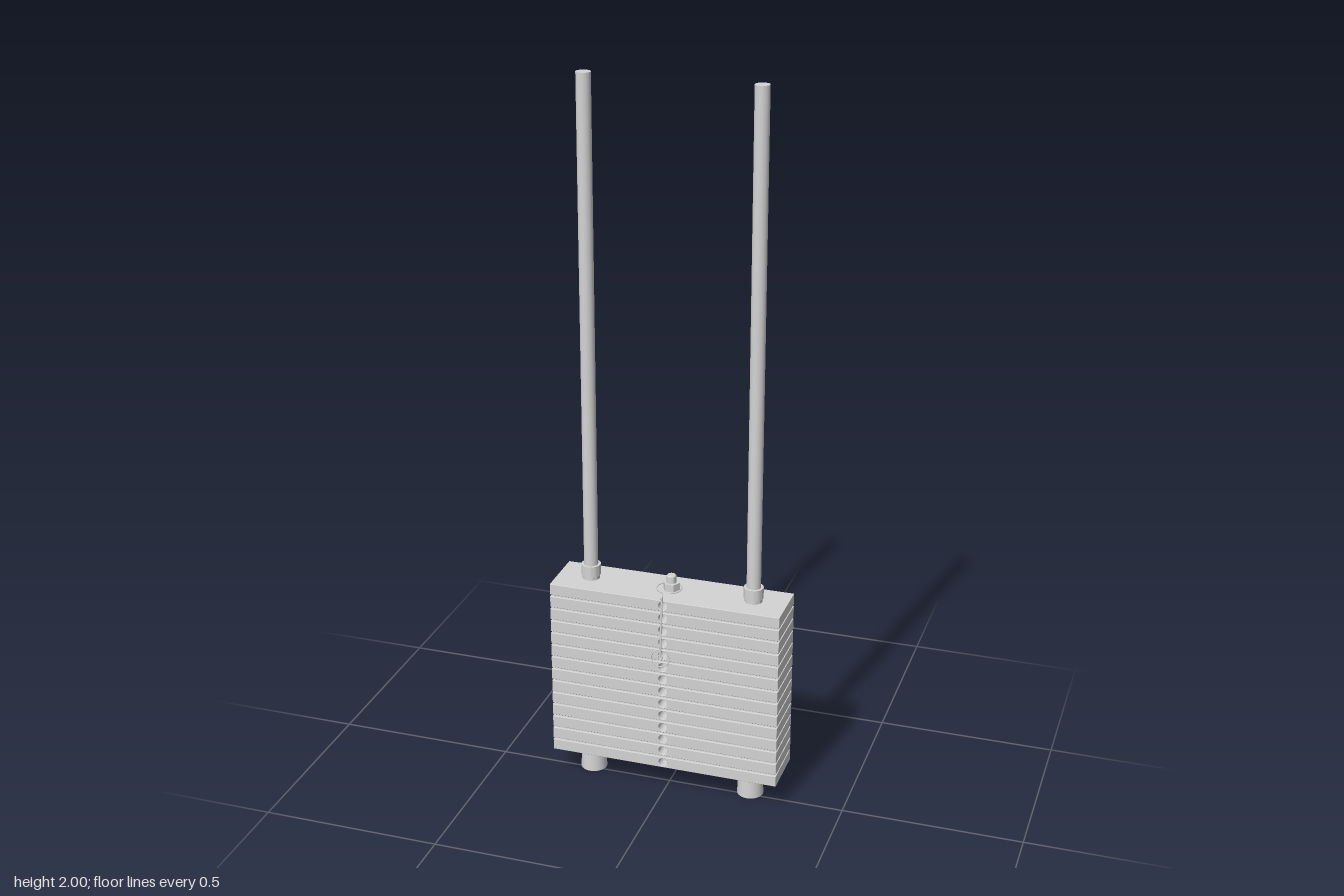
import * as THREE from 'three';
import { toCreasedNormals } from 'three/addons/utils/BufferGeometryUtils.js';

const steel = new THREE.MeshStandardMaterial({ color: 0xd4d4d4 });
steel.name = 'light steel';

const MID_Z = -0.015; // depth of the rod axes
const ROD_X = 0.232;
const PLATES = 14, PLATE_H = 0.032, STACK_BOTTOM = 0.079, STACK_TOP = 0.598;
const PITCH = (STACK_TOP - STACK_BOTTOM - PLATE_H) / (PLATES - 1);
const HALF_W = 0.325, BACK = -0.0905, DEPTH = 0.153;

function add(parent, name, geometry, x = 0, y = 0, z = 0) {
  const mesh = new THREE.Mesh(geometry, steel);
  mesh.name = name;
  mesh.position.set(x, y, z);
  parent.add(mesh);
  return mesh;
}

// Upright round bar between two heights
function post(parent, name, rTop, rBottom, y0, y1, x) {
  const g = new THREE.CylinderGeometry(rTop, rBottom, y1 - y0, 32);
  return add(parent, name, g, x, (y0 + y1) / 2, MID_Z);
}

// Turned part from [radius, height] points, with crisp steps
function turned(parent, name, profile, x) {
  const g = new THREE.LatheGeometry(profile.map(p => new THREE.Vector2(...p)), 32);
  return add(parent, name, toCreasedNormals(g, 0.5), x, 0, MID_Z);
}

function wire(parent, name, points, r) {
  const path = new THREE.CatmullRomCurve3(points, false, 'centripetal');
  return add(parent, name, new THREE.TubeGeometry(path, points.length * 4, r, 8));
}

// Plate with a pin hole running front to back
function plateGeometry() {
  const b = 0.001, w = HALF_W - b, h = PLATE_H / 2 - b;
  const shape = new THREE.Shape();
  shape.moveTo(-w, -h);
  shape.lineTo(w, -h);
  shape.lineTo(w, h);
  shape.lineTo(-w, h);
  shape.closePath();
  const hole = new THREE.Path();
  hole.absarc(0, 0, 0.0135, 0, Math.PI * 2, true);
  shape.holes.push(hole);
  const g = new THREE.ExtrudeGeometry(shape, {
    depth: DEPTH - 2 * b, bevelThickness: b, bevelSize: b, bevelSegments: 1, curveSegments: 16,
  });
  return g.translate(0, 0, BACK + b);
}

export function createModel() {
  const model = new THREE.Group();
  model.name = 'weightStack';

  // Stack of plates kept apart by slightly recessed spacers
  const stack = new THREE.Group();
  stack.name = 'plates';
  model.add(stack);
  const plate = plateGeometry();
  const inset = 0.006, gap = PITCH - PLATE_H;
  const spacer = new THREE.BoxGeometry(2 * (HALF_W - inset), gap, DEPTH - 2 * inset);
  for (let i = 0; i < PLATES; i++) {
    const y = STACK_BOTTOM + i * PITCH;
    add(stack, 'plate', plate, 0, y + PLATE_H / 2, 0);
    if (i < PLATES - 1) add(stack, 'spacer', spacer, 0, y + PLATE_H + gap / 2, BACK + DEPTH / 2);
  }

  // Guide rods, collars and feet
  for (const side of [-1, 1]) {
    const guide = new THREE.Group();
    guide.name = side > 0 ? 'leftGuide' : 'rightGuide';
    model.add(guide);
    const x = side * ROD_X;
    post(guide, 'guideRod', 0.0195, 0.0195, STACK_TOP - 0.01, 2, x);
    turned(guide, 'collar', [[0.024, 0.597], [0.024, 0.61], [0.027, 0.61], [0.027, 0.64], [0.019, 0.64]], x);
    post(guide, 'foot', 0.034, 0.037, 0, STACK_BOTTOM + 0.001, x);
  }

  // Hexagonal nut and bolt end on top
  const hexagon = toCreasedNormals(new THREE.CylinderGeometry(0.0235, 0.0235, 0.021, 6), 0.5);
  add(model, 'nut', hexagon, 0, 0.6085, MID_Z).rotation.y = Math.PI / 2;
  turned(model, 'boltEnd', [[0.0135, 0.6], [0.0135, 0.638], [0.011, 0.641], [0, 0.641]], 0);

  // Open wire clip round the nut, reaching to the front edge
  const clip = [];
  for (let i = 0; i <= 24; i++) {
    const a = THREE.MathUtils.degToRad(20 + i * 320 / 24);
    clip.push(new THREE.Vector3(Math.sin(a) * 0.034, 0.61, 0.004 + Math.cos(a) * 0.034));
  }
  clip.push(new THREE.Vector3(-0.007, 0.61, 0.047), new THREE.Vector3(0, 0.61, 0.068));
  wire(model, 'wireClip', clip, 0.0018);

  // Lanyard hanging in front with its pull ring
  const lanyard = new THREE.Group();
  lanyard.name = 'lanyard';
  model.add(lanyard);
  add(lanyard, 'topLoop', new THREE.TorusGeometry(0.004, 0.0015, 8, 16), 0, 0.608, 0.069).rotation.y = Math.PI / 2;
  wire(lanyard, 'cord', [
    new THREE.Vector3(0, 0.61, 0.069), new THREE.Vector3(0, 0.53, 0.077), new THREE.Vector3(0, 0.44, 0.085),
  ], 0.003);
  add(lanyard, 'pullRing', new THREE.TorusGeometry(0.0255, 0.0015, 8, 32), 0, 0.434, 0.084);
  add(lanyard, 'cordEye', new THREE.TorusGeometry(0.006, 0.002, 8, 16), 0, 0.437, 0.084);
  return model;
}
